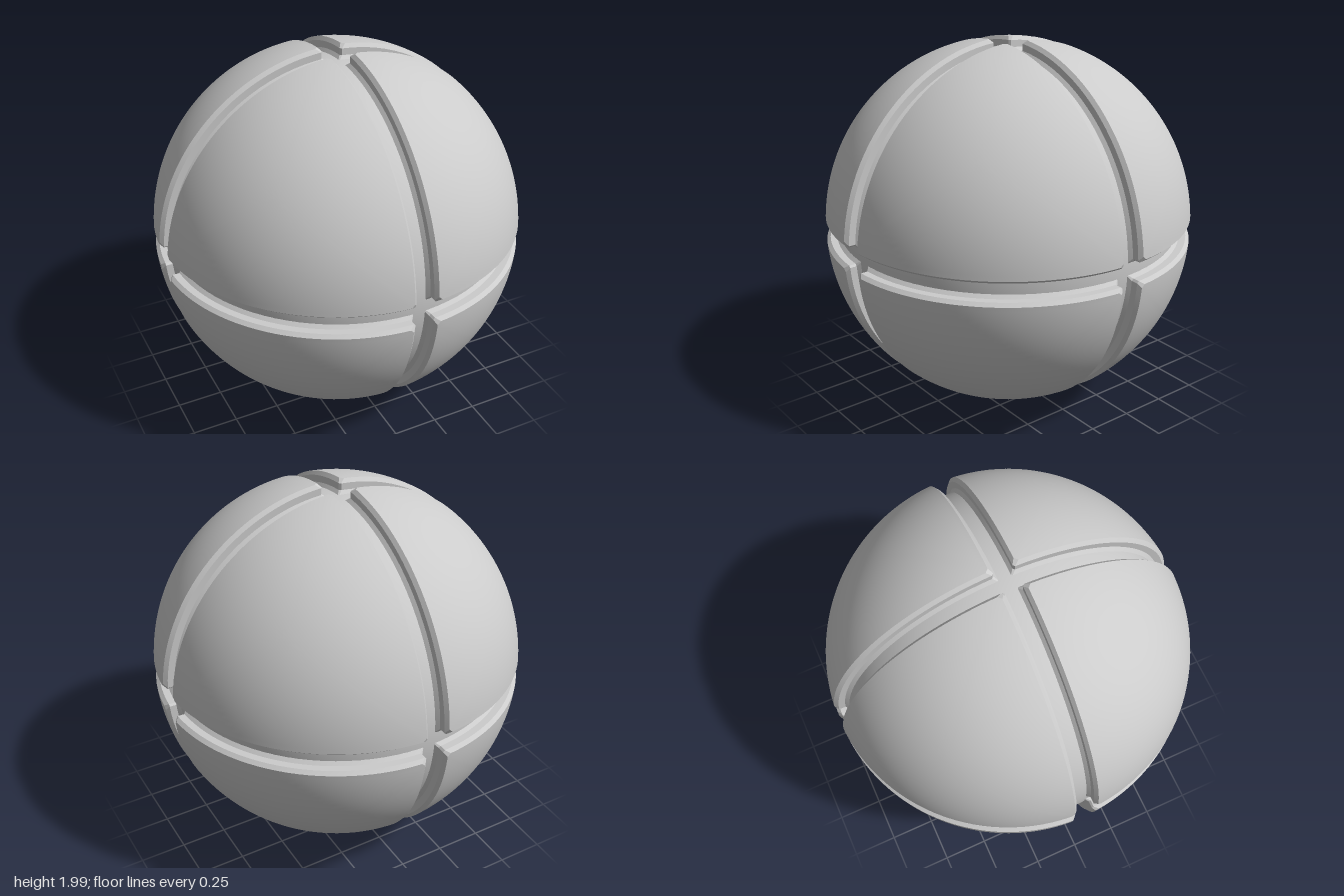
import * as THREE from 'three';
import { toCreasedNormals } from 'three/addons/utils/BufferGeometryUtils.js';

const EDGE_STEPS = 28;  // points along each of a panel's three edges
const CAP_RINGS = 20;   // rings from the panel's rim to its middle
const CENTRE = new THREE.Vector3(1, 1, 1).normalize();

// Groove wall from floor to rim: [distance from the mid plane, radius, corner cut]
const PROFILE = [
  [0.027, 0.92, 0.004],
  [0.05, 0.945, 0.01],
  [0.05, 0.982, 0.01],
  [0.067, 1.0025, 0.018],
];

// Closed three-sided loop in the (+,+,+) octant, each edge parallel to a mid plane
function panelLoop([offset, radius, cut]) {
  const flat = Math.sqrt(radius * radius - offset * offset);
  const start = Math.asin((offset + cut) / flat);
  const points = [];
  for (let edge = 0; edge < 3; edge++) {
    for (let i = 0; i < EDGE_STEPS; i++) {
      const t = start + (Math.PI / 2 - 2 * start) * i / (EDGE_STEPS - 1);
      const c = [0, 0, 0];
      c[edge] = flat * Math.cos(t);
      c[(edge + 1) % 3] = flat * Math.sin(t);
      c[(edge + 2) % 3] = offset;
      points.push(new THREE.Vector3(...c));
    }
  }
  return points;
}

// One panel: groove walls, bevelled rim and spherical cap
function panelGeometry() {
  const rings = PROFILE.map(panelLoop);
  const rim = rings[rings.length - 1];
  const radius = PROFILE[PROFILE.length - 1][1];
  for (let k = 1; k <= CAP_RINGS; k++) {
    const middle = CENTRE.clone().multiplyScalar(radius);
    rings.push(rim.map((p) => p.clone().lerp(middle, k / CAP_RINGS).setLength(radius)));
  }
  const n = rim.length;
  const index = [];
  for (let r = 0; r < rings.length - 1; r++) {
    for (let j = 0; j < n; j++) {
      const a = r * n + j, b = r * n + (j + 1) % n;
      index.push(a, b, b + n);
      if (r < rings.length - 2) index.push(a, b + n, a + n);
    }
  }
  const geometry = new THREE.BufferGeometry().setFromPoints(rings.flat());
  geometry.setIndex(index);
  return toCreasedNormals(geometry, 0.4);
}

export function createModel() {
  const model = new THREE.Group();
  model.name = 'groovedBall';
  const material = new THREE.MeshStandardMaterial({ color: 0xcccccc });

  // Inner ball forms the floor of the grooves
  const core = new THREE.Mesh(new THREE.SphereGeometry(0.927, 96, 64), material);
  core.name = 'grooveFloor';
  core.position.y = 1;
  model.add(core);

  // Eight identical panels, four above and four below the equator
  const geometry = panelGeometry();
  for (const [half, turn] of [['upper', 0], ['lower', Math.PI]]) {
    for (let k = 0; k < 4; k++) {
      const panel = new THREE.Mesh(geometry, material);
      panel.name = `${half}Panel${k + 1}`;
      panel.rotation.set(turn, k * Math.PI / 2, 0);
      panel.position.y = 1;
      model.add(panel);
    }
  }
  return model;
}
